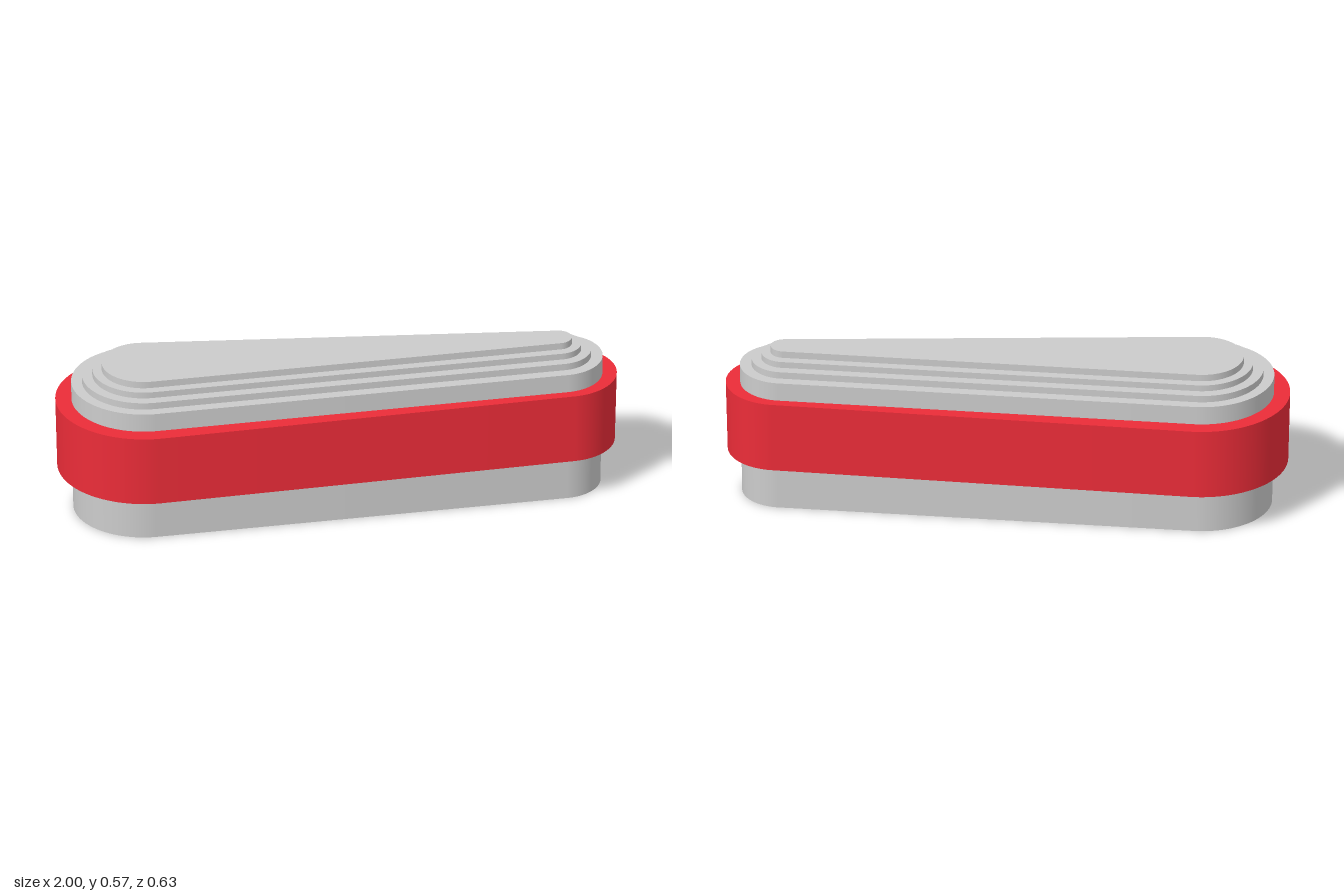
import * as THREE from 'three';

const grey = new THREE.MeshStandardMaterial({ color: 0xcccccc });
const red = new THREE.MeshStandardMaterial({ color: 0xeb2c38 });

// Teardrop slab: a wide round end (-x) and a narrow round end (+x) joined by
// straight tangents. A unit cylinder is split and its halves moved to each end.
// big / small: { x, r } at the top; draft: how much the radii shrink at the base.
function slab(name, material, y0, y1, big, small, draft) {
  const geo = new THREE.CylinderGeometry(1, 1, y1 - y0, 144);
  const tangent = (big.r - small.r) / (small.x - big.x);
  const pos = geo.attributes.position;
  for (let i = 0; i < pos.count; i++) {
    const nx = pos.getX(i), ny = pos.getY(i), nz = pos.getZ(i);
    if (Math.hypot(nx, nz) < 0.5) continue; // cap centres stay put
    const end = nx > tangent ? small : big;
    const r = end.r - (ny < 0 ? draft : 0);
    pos.setXYZ(i, end.x + nx * r, ny, nz * r);
  }
  geo.translate(0, (y0 + y1) / 2, 0);
  const mesh = new THREE.Mesh(geo, material);
  mesh.name = name;
  return mesh;
}

export function createModel() {
  const group = new THREE.Group();
  group.name = 'steppedTeardropBlock';

  // Core body running the full height, slightly drafted
  group.add(slab('coreBody', grey, 0, 0.497, { x: -0.688, r: 0.256 }, { x: 0.796, r: 0.154 }, 0.008));

  // Coloured band around the middle
  group.add(slab('band', red, 0.165, 0.428, { x: -0.686, r: 0.314 }, { x: 0.812, r: 0.188 }, 0.007));

  // Three shrinking steps on top
  const steps = [
    [0.497, 0.522, 0.218, 0.116],
    [0.522, 0.545, 0.181, 0.081],
    [0.545, 0.57, 0.148, 0.048],
  ];
  steps.forEach(([y0, y1, R, r], i) => {
    group.add(slab(`topStep${i + 1}`, grey, y0, y1, { x: -0.688, r: R }, { x: 0.793, r }, 0));
  });

  return group;
}
